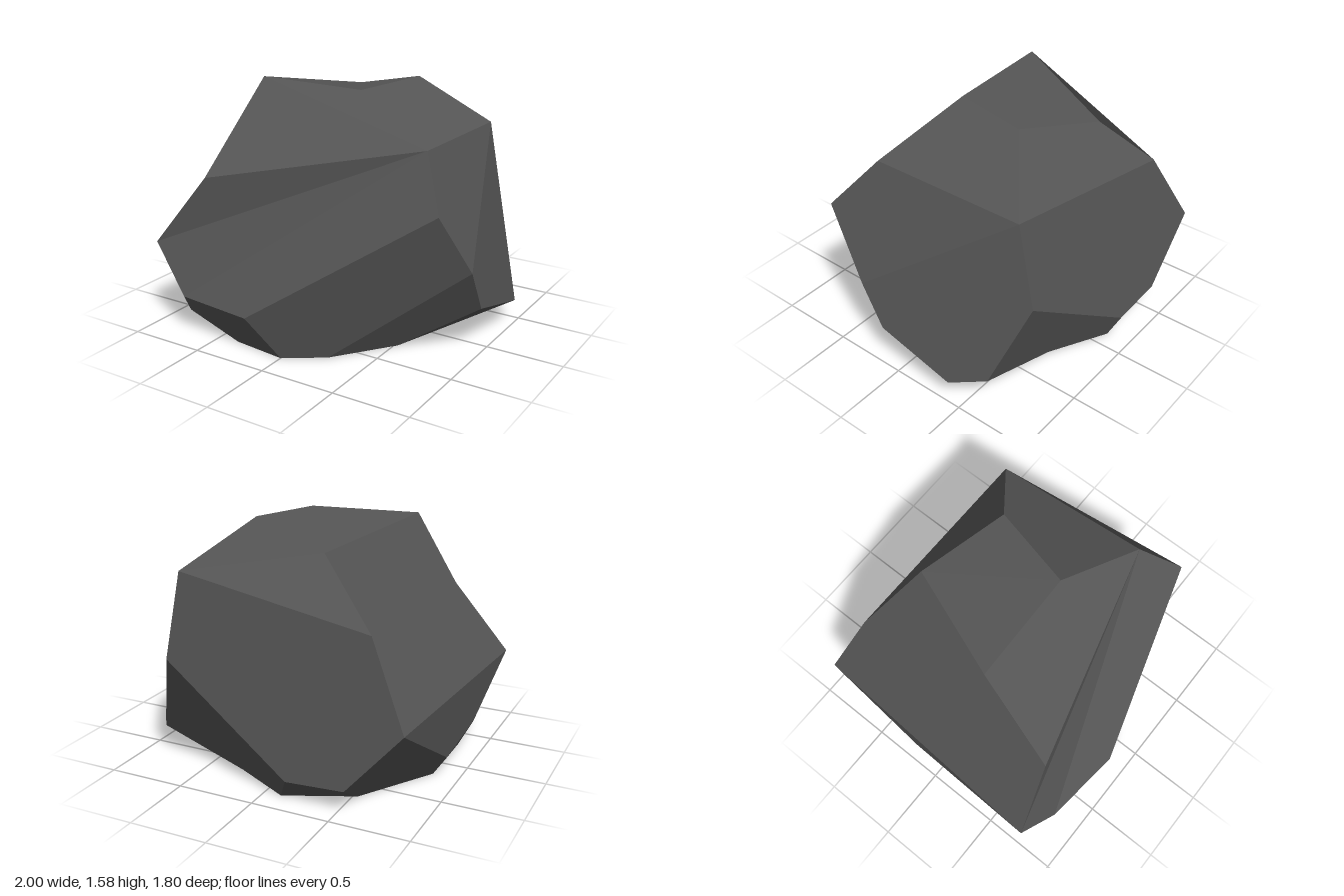
import * as THREE from 'three';

// Corners of the boulder, ring by ring from the ground up
const corners = {
  // flat foot
  a: [0.52, 0, 0.28], b: [0.24, 0, 0.65], c: [0, 0, 0.81], d: [-0.36, 0, 0.77],
  e: [-0.62, 0, 0.6], f: [-0.83, 0, 0.33], g: [-0.83, 0, -0.17], h: [-0.53, 0, -0.65],
  i: [-0.11, 0, -0.84], j: [0.27, 0, -0.64], k: [0.51, 0, -0.47],
  // chamfer just above the foot
  l: [1, 0.3, 0.11], m: [-0.2, 0.25, 0.9], n: [-0.73, 0.25, 0.84], o: [-0.74, 0.13, 0.77],
  p: [-0.89, 0.13, 0.45], q: [-0.93, 0.15, -0.21], r: [-0.55, 0.15, -0.9],
  s: [-0.17, 0.13, -0.9], t: [0.86, 0.18, -0.61], u: [1, 0.16, -0.42],
  // belly
  A: [1, 0.58, 0.26], B: [0.92, 1, 0.56], C: [-1, 0.55, 0.77],
  D: [-0.91, 0.56, -0.9], E: [0.69, 0.73, -0.81],
  // shoulder
  F: [0.72, 1.3, 0.33], G: [-0.65, 1.01, 0.68], H: [-0.65, 1.06, -0.76], I: [0.66, 1.26, -0.68],
  // crown
  J: [-0.56, 1.575, 0.16], K: [0.16, 1.56, 0.14], L: [0.28, 1.575, -0.38], M: [-0.27, 1.445, -0.57],
};

// Facets as corner loops, each fanned from its first corner
const facets = [
  'abcdefghijk',                               // underside
  'KLMJ', 'LKFI', 'JKFG', 'MHIL',              // crown and its slopes
  'FGC', 'FCn', 'FnmB',                        // creased front
  'HDCGJM', 'IFBA', 'IAlutE', 'DrsEIH',        // sides and back
  'BAbcm', 'Alab', 'ukal', 'utjk',             // undercut, +x side
  'Etjis', 'srhi', 'Dqghr',                    // undercut, back
  'CDqp', 'qpfg', 'Cnop', 'podef', 'nmcdo',    // undercut, -x side and front
];

function facetedGeometry() {
  const centre = new THREE.Vector3(0, 0.7, 0);
  const positions = [];
  const normals = [];
  for (const loop of facets) {
    const pts = [...loop].map((key) => new THREE.Vector3(...corners[key]));
    // One shared normal keeps each slightly bent facet evenly flat in tone
    const normal = new THREE.Vector3();
    const middle = new THREE.Vector3();
    pts.forEach((p, i) => {
      normal.add(p.clone().cross(pts[(i + 1) % pts.length]));
      middle.addScaledVector(p, 1 / pts.length);
    });
    normal.normalize();
    // Turn the loop so that it faces outward
    const outward = normal.dot(middle.sub(centre)) > 0;
    if (!outward) normal.negate();
    for (let i = 1; i < pts.length - 1; i++) {
      const tri = outward ? [pts[0], pts[i], pts[i + 1]] : [pts[0], pts[i + 1], pts[i]];
      for (const p of tri) {
        positions.push(p.x, p.y, p.z);
        normals.push(normal.x, normal.y, normal.z);
      }
    }
  }
  const geometry = new THREE.BufferGeometry();
  geometry.setAttribute('position', new THREE.Float32BufferAttribute(positions, 3));
  geometry.setAttribute('normal', new THREE.Float32BufferAttribute(normals, 3));
  return geometry;
}

export function createModel() {
  const stone = new THREE.MeshStandardMaterial({ color: 0x555555 });
  stone.name = 'dark grey stone';
  const boulder = new THREE.Mesh(facetedGeometry(), stone);
  boulder.name = 'boulder';
  const model = new THREE.Group();
  model.name = 'rock';
  model.add(boulder);
  return model;
}
